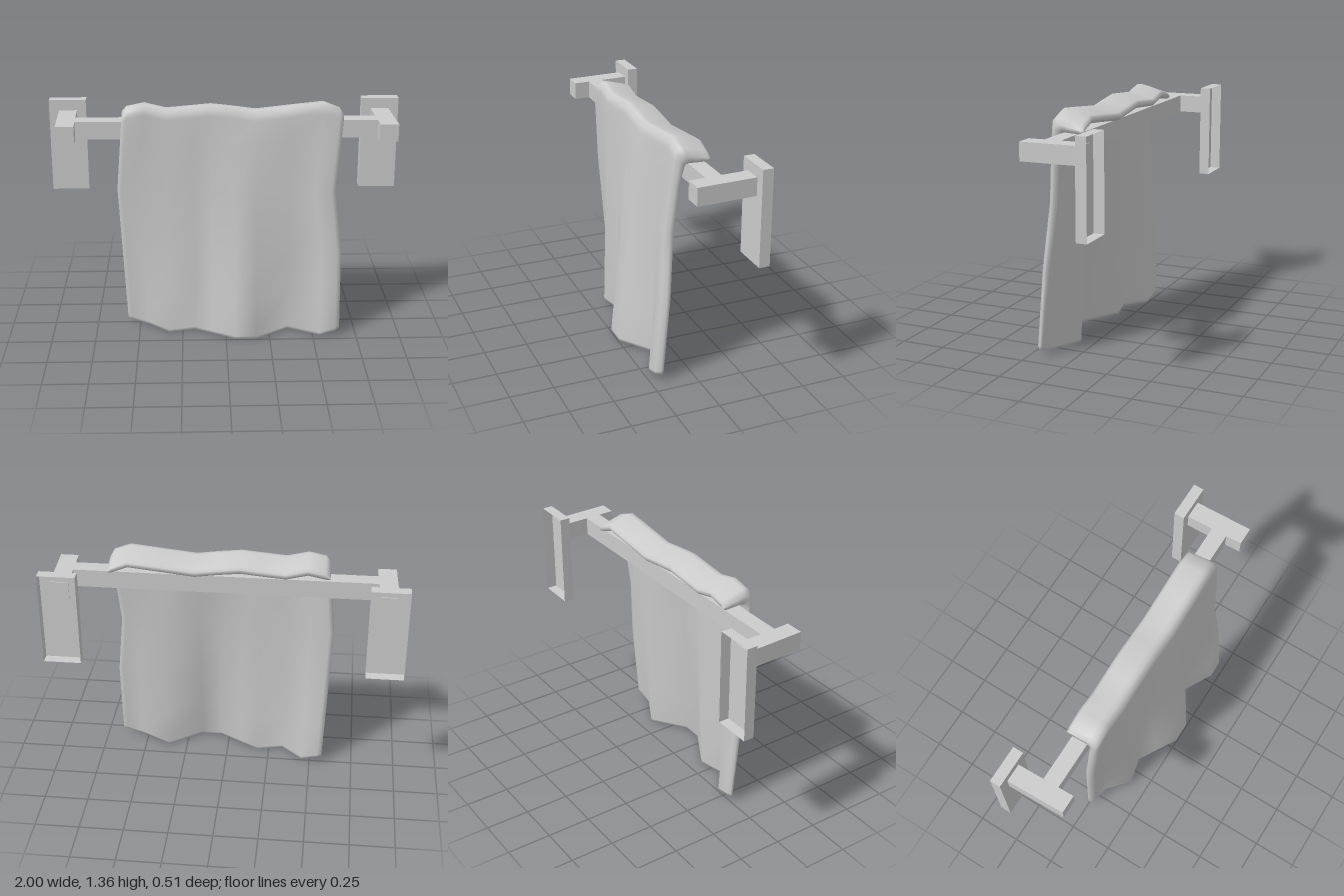
import * as THREE from 'three';

const grey = new THREE.MeshStandardMaterial({ color: 0xcccccc });
const greyDouble = new THREE.MeshStandardMaterial({ color: 0xcccccc, side: THREE.DoubleSide });
const lerp = THREE.MathUtils.lerp;

function addMesh(group, name, geometry, material, x = 0, y = 0, z = 0) {
  const mesh = new THREE.Mesh(geometry, material);
  mesh.name = name;
  mesh.position.set(x, y, z);
  group.add(mesh);
}

// Hollow wall plate: a box without its back face
function plateGeometry() {
  const g = new THREE.BoxGeometry(0.21, 0.535, 0.06);
  g.setIndex(Array.from(g.index.array).slice(0, 30));
  return g;
}

// Arm whose front end leans slightly to +x
function armGeometry() {
  const g = new THREE.BoxGeometry(0.102, 0.1, 0.335);
  const p = g.attributes.position;
  for (let i = 0; i < p.count; i++) p.setX(i, p.getX(i) + (p.getZ(i) > 0 ? 0.005 : -0.005));
  g.computeVertexNormals();
  return g;
}

// Towel stations across x: [x, top height, z of the bottom hem, y of the bottom hem, thickness factor]
const stations = [
  [-0.57, 1.33, 0.02, 0.035, 0.45], [-0.545, 1.34, 0.028, 0.028, 1],
  [-0.45, 1.36, 0.04, 0, 1], [-0.33, 1.33, 0.15, 0, 1],
  [-0.18, 1.343, 0.115, 0, 1], [-0.08, 1.352, 0.173, 0, 1],
  [0.05, 1.337, 0.25, 0, 1], [0.17, 1.32, 0.25, 0, 1],
  [0.36, 1.341, 0.115, 0, 1], [0.54, 1.36, 0.215, 0, 1],
  [0.63, 1.325, 0.217, 0.028, 1], [0.655, 1.308, 0.205, 0.038, 0.45],
];

// Fold over the rail as [z, drop below the top]
const foldOuter = [[-0.08, 0.045], [-0.065, 0.033], [0.0, 0.016], [0.055, 0], [0.08, 0.002], [0.104, 0.022], [0.11, 0.06]];
const foldInner = [[-0.08, 0.062], [-0.068, 0.075], [0.0, 0.078], [0.03, 0.08], [0.045, 0.085], [0.05, 0.095], [0.055, 0.12]];
const rows = [1.145, 0.86, 0.68, 0.5, 0.25];

// Sideways bulge of the towel's edges by height
function edgeShift(x, y) {
  const weight = THREE.MathUtils.clamp((Math.abs(x) - 0.3) / 0.24, 0, 1);
  const bulge = y > 0.86 ? (1.3 - y) / 0.44 : (x < 0 ? y / 0.86 : (y - 0.5) / 0.36);
  return -0.038 * weight * THREE.MathUtils.clamp(bulge, 0, 1);
}

// Closed cross-section: outer side from the back edge to the hem, then the inner side back
function towelSection([x, top, hemZ, hemY, thick]) {
  const outer = foldOuter.map(([z, d]) => [z, top - d]);
  const inner = foldInner.map(([z, d]) => [z, top - d]);
  for (const y of [...rows, hemY + 0.02, hemY]) {
    const t = (1.3 - y) / 1.3, z = lerp(0.11, hemZ, t);
    const round = y === hemY ? 0.008 : 0;
    outer.push([z - round, y]);
    inner.push([z - lerp(0.057, 0.037, t) + round, y]);
  }
  const pinch = (1 - thick) / 2;
  const blend = (a, b) => a.map((p, k) => [lerp(p[0], b[k][0], pinch), lerp(p[1], b[k][1], pinch)]);
  return [...blend(outer, inner), ...blend(inner, outer).reverse()]
    .map(([z, y]) => [x + edgeShift(x, y), y, z]);
}

function towelGeometry() {
  const sections = stations.map(towelSection);
  const n = sections[0].length, last = (sections.length - 1) * n;
  const index = [];
  for (let i = 0; i < sections.length - 1; i++) {
    for (let j = 0; j < n; j++) {
      const a = i * n + j, b = i * n + (j + 1) % n;
      index.push(a, b, a + n, a + n, b, b + n);
    }
  }
  // Side edges join the outer and inner runs
  for (let k = 0; k < n / 2 - 1; k++) {
    const a = k, b = k + 1, c = n - 1 - k, d = n - 2 - k;
    index.push(a, c, b, b, c, d);
    index.push(last + a, last + b, last + c, last + b, last + d, last + c);
  }
  const g = new THREE.BufferGeometry();
  g.setAttribute('position', new THREE.Float32BufferAttribute(sections.flat(2), 3));
  g.setIndex(index);
  g.computeVertexNormals();
  return g;
}

export function createModel() {
  const model = new THREE.Group();
  model.name = 'towelRack';

  // Wall plates and arms
  for (const [side, s, armX] of [['left', 1, 0.897], ['right', -1, -0.888]]) {
    addMesh(model, side + 'WallPlate', plateGeometry(), greyDouble, s * 0.895, 1.0375, -0.23);
    addMesh(model, side + 'Arm', armGeometry(), grey, armX, 1.195, -0.0375);
  }

  // Rail between the arms
  addMesh(model, 'rail', new THREE.BoxGeometry(1.69, 0.102, 0.09), grey, 0.008, 1.194, -0.005);

  // Draped towel
  addMesh(model, 'towel', towelGeometry(), grey);
  return model;
}
